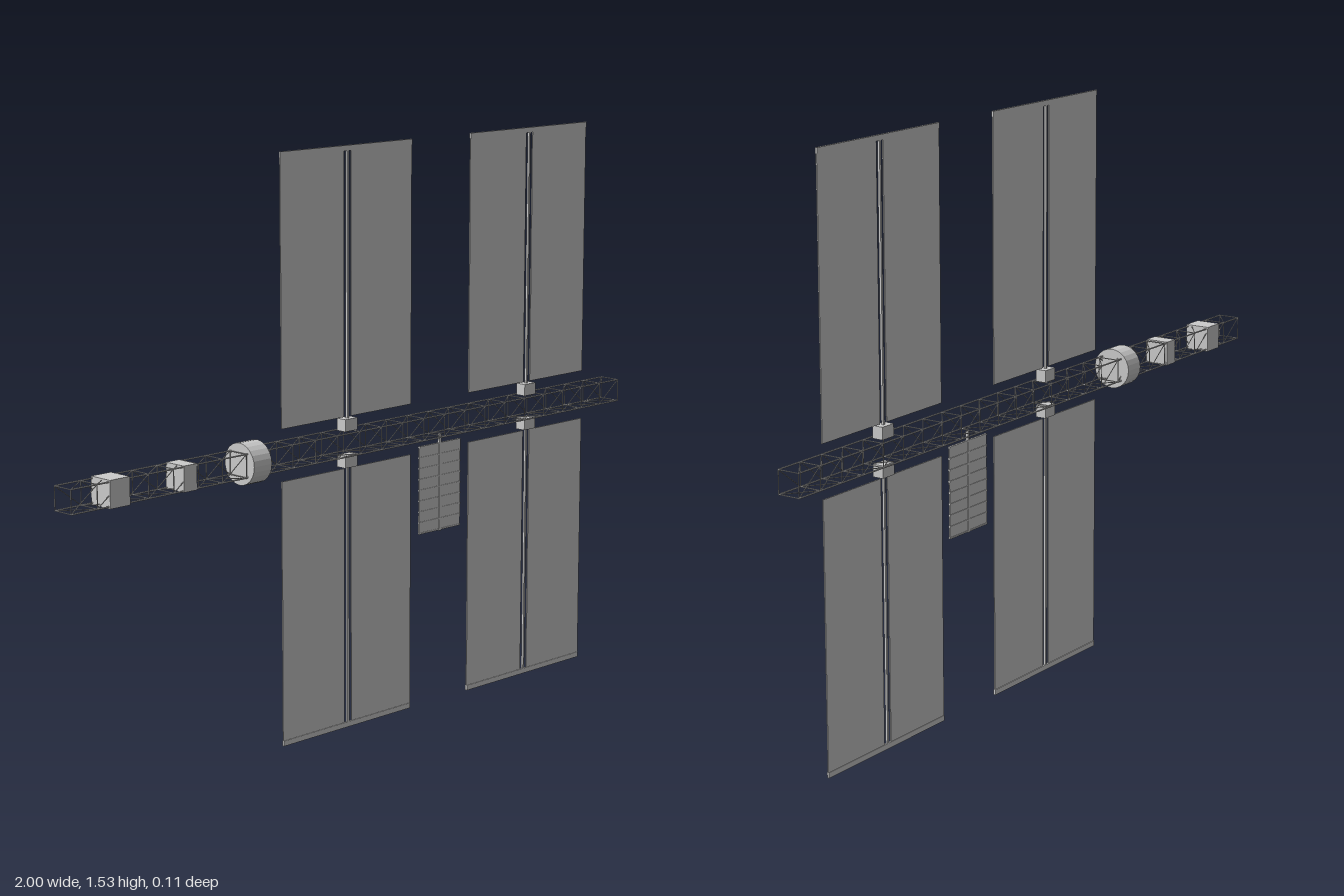
import * as THREE from 'three';

const CY = 0.766; // height of the truss axis
const HALF = 0.03; // half width of the truss
const BAYS = 25;

const material = new THREE.MeshStandardMaterial({ color: 0xcccccc, flatShading: true });

export function createModel() {
  const model = new THREE.Group();

  const box = (parent, name, w, h, d, x, y, z = 0) => {
    const mesh = new THREE.Mesh(new THREE.BoxGeometry(w, h, d), material);
    mesh.name = name;
    mesh.position.set(x, y, z);
    parent.add(mesh);
    return mesh;
  };

  // Thin round rod between two points
  const up = new THREE.Vector3(0, 1, 0);
  const rod = (parent, name, a, b, r) => {
    const dir = b.clone().sub(a);
    const mesh = new THREE.Mesh(new THREE.CylinderGeometry(r, r, dir.length(), 6), material);
    mesh.name = name;
    mesh.position.copy(a).add(b).multiplyScalar(0.5);
    mesh.quaternion.setFromUnitVectors(up, dir.normalize());
    parent.add(mesh);
  };

  // Square lattice truss along x
  const truss = new THREE.Group();
  truss.name = 'truss';
  model.add(truss);
  const corners = [[1, 1], [1, -1], [-1, -1], [-1, 1]];
  const x0 = -0.998, pitch = 1.996 / BAYS;
  const node = (i, k) => {
    const [sy, sz] = corners[k % 4];
    return new THREE.Vector3(x0 + i * pitch, CY + sy * HALF, sz * HALF);
  };
  for (let k = 0; k < 4; k++) {
    rod(truss, 'longeron', node(0, k), node(BAYS, k), 0.002);
    for (let i = 0; i <= BAYS; i++) {
      rod(truss, 'batten', node(i, k), node(i, k + 1), 0.0014);
      if (i < BAYS) rod(truss, 'diagonal', node(i, k), node(i + 1, k + 1), 0.0012);
    }
  }

  // Equipment boxes and rotary drum on the truss
  box(model, 'largeEquipmentBox', 0.062, 0.07, 0.07, -0.852, CY);
  box(model, 'smallEquipmentBox', 0.043, 0.066, 0.066, -0.627, CY);
  const drum = new THREE.Mesh(new THREE.CylinderGeometry(0.054, 0.054, 0.06, 24), material);
  drum.name = 'rotaryDrum';
  drum.rotation.z = Math.PI / 2;
  drum.position.set(-0.405, CY, 0);
  model.add(drum);

  // Solar wings: two stations, each with a wing above and below
  for (const x of [-0.056, 0.639]) {
    for (const s of [1, -1]) {
      const wing = new THREE.Group();
      wing.name = s > 0 ? 'upperSolarWing' : 'lowerSolarWing';
      wing.position.set(x, CY, 0);
      model.add(wing);
      box(wing, 'wingJoint', 0.045, 0.032, 0.03, 0, s * 0.048);
      box(wing, 'mast', 0.006, 0.69, 0.006, 0, s * 0.408);
      for (const side of [1, -1]) {
        box(wing, 'solarBlanket', 0.222, 0.692, 0.003, side * 0.124, s * 0.414);
      }
      box(wing, 'endBar', 0.47, 0.014, 0.006, 0, s * 0.759);
    }
  }

  // Ribbed radiator hanging below the truss
  const radiator = new THREE.Group();
  radiator.name = 'radiator';
  radiator.position.set(0.292, 0, 0);
  model.add(radiator);
  box(radiator, 'radiatorMast', 0.007, 0.266, 0.007, 0, 0.605);
  box(radiator, 'radiatorPanel', 0.16, 0.24, 0.003, 0, 0.594);
  for (let i = 0; i <= 8; i++) {
    box(radiator, 'radiatorRib', 0.16, 0.004, 0.006, 0, 0.476 + i * 0.0295);
  }

  return model;
}
